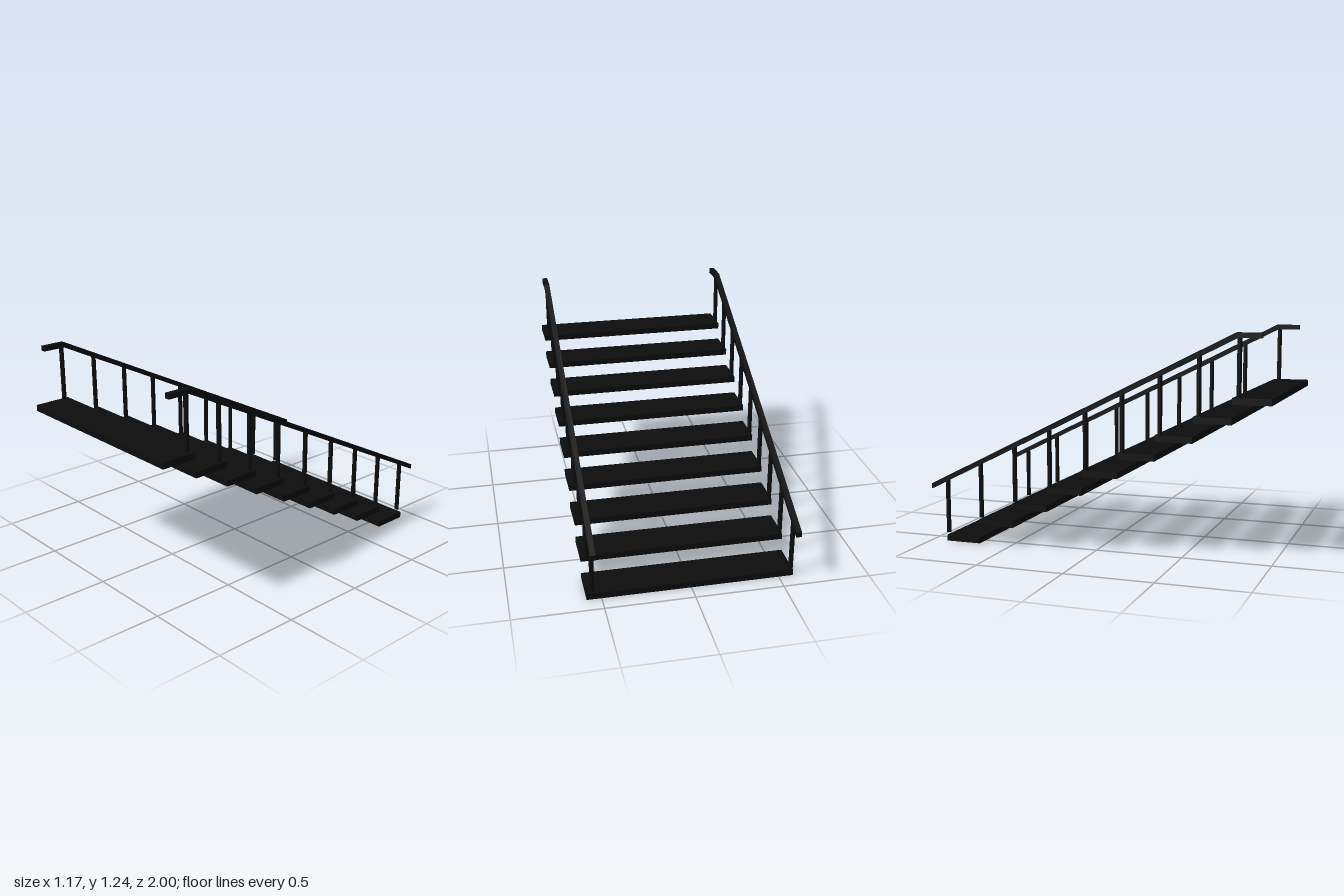
import * as THREE from 'three';

export function createModel() {
  const group = new THREE.Group();
  group.name = 'openStaircase';
  const material = new THREE.MeshStandardMaterial({ color: 0x0d0d0d });
  const steps = 9;

  function add(name, geometry, x, y, z) {
    const mesh = new THREE.Mesh(geometry, material);
    mesh.name = name;
    mesh.position.set(x, y, z);
    group.add(mesh);
    return mesh;
  }

  // Floating treads, climbing towards +z
  const treadGeometry = new THREE.BoxGeometry(1.166, 0.036, 0.21);
  for (let i = 0; i < steps; i++) {
    add('tread', treadGeometry, 0, 0.018 + i * 0.1085, -0.8 + i * 0.2119);
  }

  // Handrail profile (z, y): a straight slope with a short level end at the top
  const railShape = new THREE.Shape([
    [-1, 0.306], [0.814, 1.216], [0.943, 1.216],
    [0.943, 1.244], [0.806, 1.244], [-1, 0.336],
  ].map(([z, y]) => new THREE.Vector2(z, y)));
  const railWidth = 0.031;
  const railGeometry = new THREE.ExtrudeGeometry(railShape, { depth: railWidth, bevelEnabled: false });
  railGeometry.translate(0, 0, -railWidth / 2);
  railGeometry.rotateY(-Math.PI / 2);

  // One handrail with its balusters on each side
  for (const side of [
    { name: 'right', rail: -0.568, post: -0.568 },
    { name: 'left', rail: 0.555, post: 0.552 },
  ]) {
    add(side.name + 'Handrail', railGeometry, side.rail, 0, 0);
    for (let i = 0; i < steps; i++) {
      const z = -0.901 + i * 0.2155;
      const bottom = 0.05 + i * 0.105;
      const top = Math.min(0.321 + (z + 1) * 0.503, 1.23);
      const height = top - bottom;
      add(side.name + 'Baluster', new THREE.CylinderGeometry(0.013, 0.013, height, 16),
        side.post, bottom + height / 2, z);
    }
  }
  return group;
}
